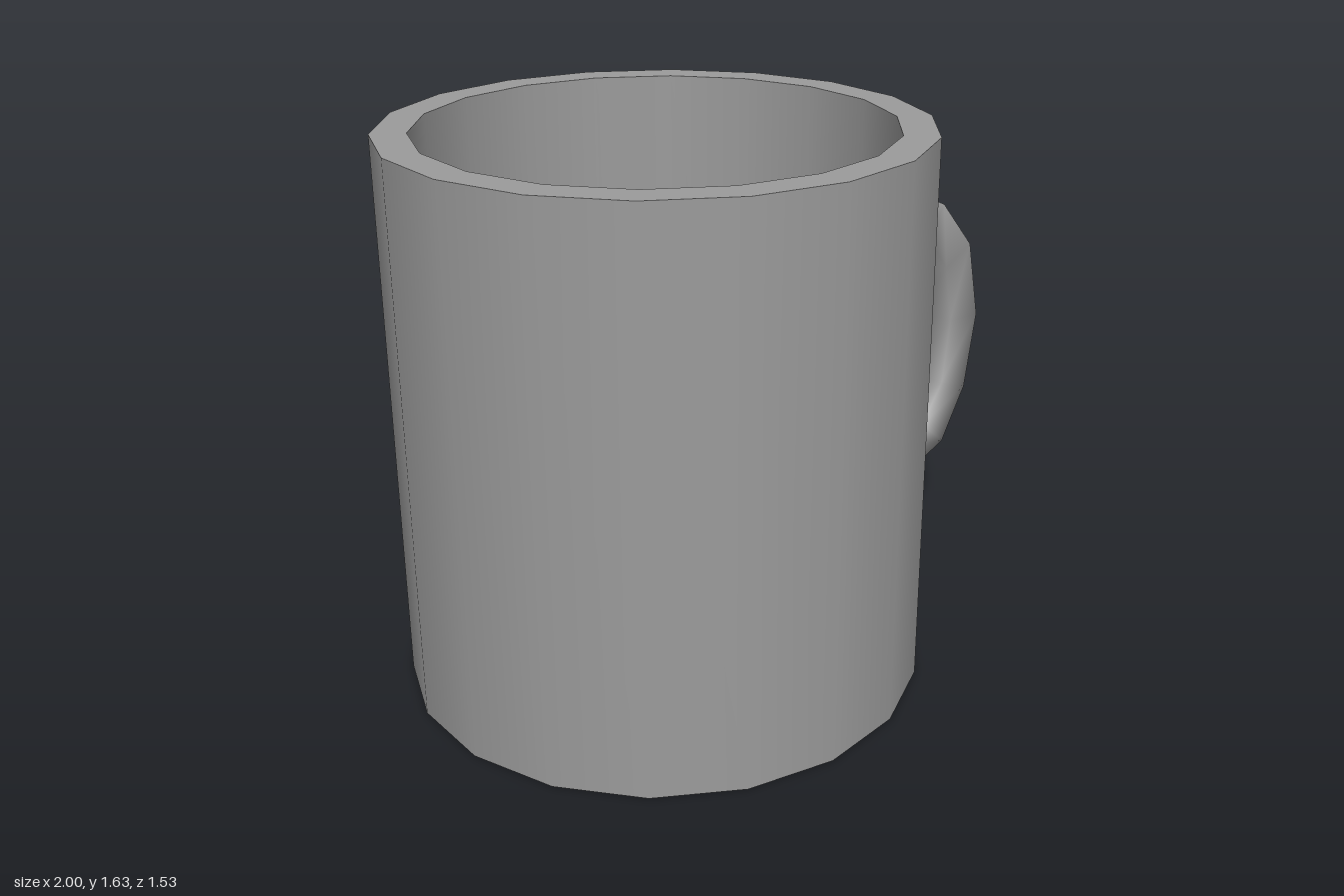
import * as THREE from 'three';
import { mergeGeometries } from 'three/addons/utils/BufferGeometryUtils.js';

const material = new THREE.MeshStandardMaterial({ color: 0x9b9b9b });

// Thick-walled cup: each profile segment is its own 18-sided band,
// so the walls are smooth and the rims stay sharp
function createCup() {
  const outer = 0.767, inner = 0.667, height = 1.63, floor = 0.1;
  const profile = [
    [0, 0], [outer, 0], [outer, height], [inner, height], [inner, floor], [0, floor],
  ].map(([r, y]) => new THREE.Vector2(r, y));
  const bands = profile.slice(1).map((point, i) => new THREE.LatheGeometry([profile[i], point], 18));
  const geometry = mergeGeometries(bands);
  geometry.normalizeNormals();
  const cup = new THREE.Mesh(geometry, material);
  cup.name = 'cup';
  cup.position.x = -0.245;
  return cup;
}

// Handle: a square section swept from the upper joint to the lower one
function createHandle() {
  const front = 0.07, back = -0.073;
  // outer x, y and inner x, y of each section; both ends sink into the wall
  const sections = [
    [0.46, 1.32, 0.46, 1.19],
    [0.655, 1.312, 0.62, 1.192],
    [0.82, 1.235, 0.755, 1.138],
    [0.95, 1.08, 0.845, 1.02],
    [1.0, 0.83, 0.877, 0.83],
    [0.96, 0.58, 0.852, 0.62],
    [0.868, 0.407, 0.77, 0.49],
    [0.695, 0.321, 0.62, 0.432],
    [0.46, 0.292, 0.46, 0.428],
  ];
  const positions = [], index = [];
  sections.forEach(([ox, oy, ix, iy], k) => {
    positions.push(ox, oy, front, ox, oy, back, ix, iy, back, ix, iy, front);
    if (k === 0) return;
    for (let j = 0; j < 4; j++) {
      const next = (j + 1) % 4;
      const a = (k - 1) * 4 + j, b = (k - 1) * 4 + next;
      const c = k * 4 + j, d = k * 4 + next;
      index.push(a, c, b, b, c, d);
    }
  });
  // End caps
  const e = (sections.length - 1) * 4;
  index.push(0, 1, 2, 0, 2, 3, e, e + 2, e + 1, e, e + 3, e + 2);
  const geometry = new THREE.BufferGeometry();
  geometry.setAttribute('position', new THREE.Float32BufferAttribute(positions, 3));
  geometry.setIndex(index);
  geometry.computeVertexNormals();
  const handle = new THREE.Mesh(geometry, material);
  handle.name = 'handle';
  return handle;
}

export function createModel() {
  const mug = new THREE.Group();
  mug.name = 'mug';
  mug.add(createCup(), createHandle());
  return mug;
}
